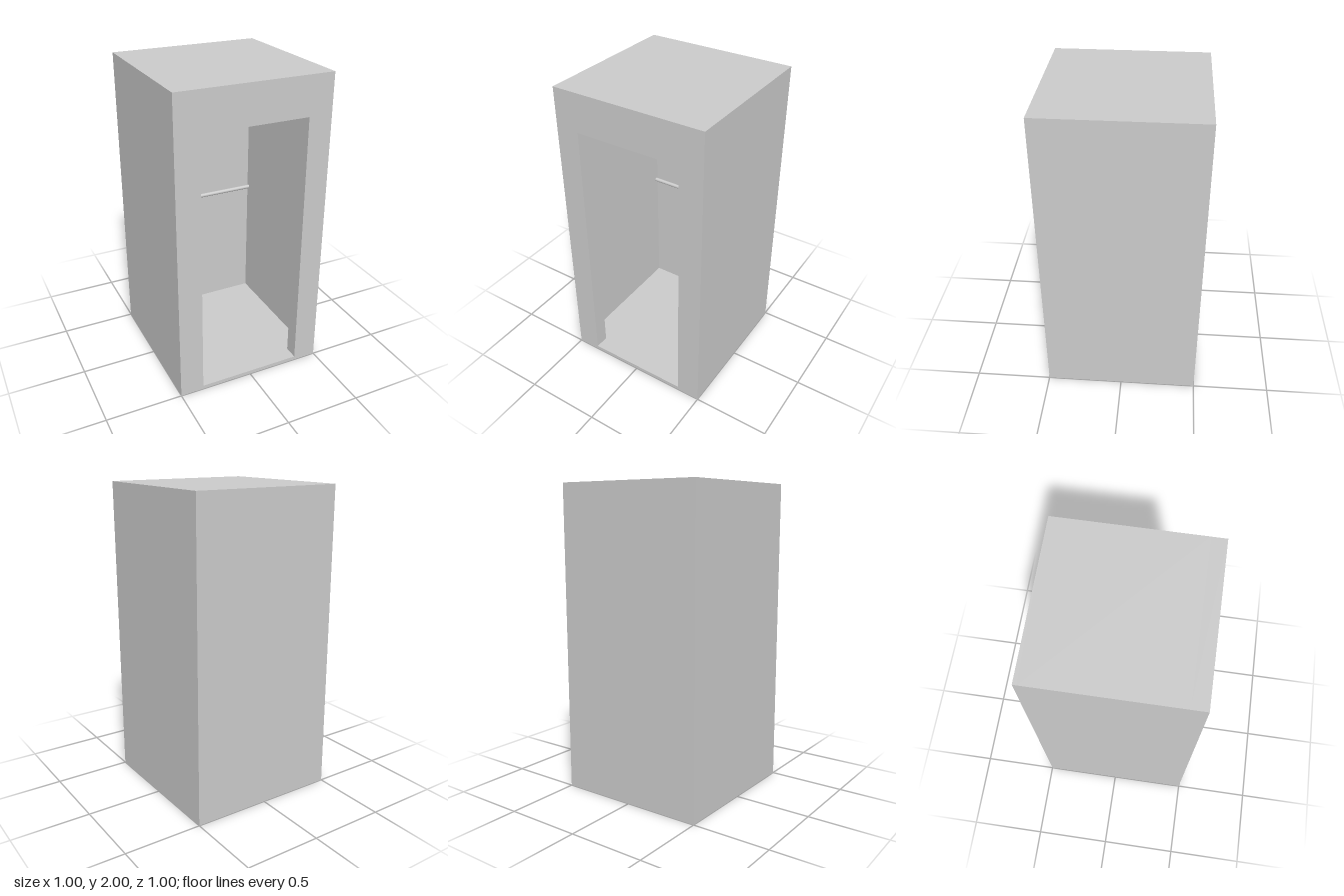
import * as THREE from 'three';

const material = new THREE.MeshStandardMaterial({ color: 0xcccccc });
const W = 1, H = 2, D = 1, T = 0.025, FRONT = 0.095;

function add(group, name, geometry, x, y, z) {
  const mesh = new THREE.Mesh(geometry, material);
  mesh.name = name;
  mesh.position.set(x, y, z);
  group.add(mesh);
  return mesh;
}

function rectangle(target, x0, y0, x1, y1) {
  target.moveTo(x0, y0);
  target.lineTo(x1, y0);
  target.lineTo(x1, y1);
  target.lineTo(x0, y1);
  target.closePath();
  return target;
}

export function createModel() {
  const group = new THREE.Group();
  group.name = 'booth';

  // Hollow shell: a rectangular tube running front to back, closed by the back panel
  const shell = rectangle(new THREE.Shape(), -W / 2, 0, W / 2, H);
  shell.holes.push(rectangle(new THREE.Path(), -W / 2 + T, T, W / 2 - T, H - T));
  add(group, 'shell', new THREE.ExtrudeGeometry(shell, { depth: D - T - FRONT, bevelEnabled: false }), 0, 0, -D / 2 + T);
  add(group, 'backPanel', new THREE.BoxGeometry(W, H, T), 0, H / 2, -D / 2 + T / 2);

  // Thick front frame around the doorway
  const front = rectangle(new THREE.Shape(), -W / 2, 0, W / 2, H);
  front.holes.push(rectangle(new THREE.Path(), -0.345, T, 0.345, 1.75));
  add(group, 'frontFrame', new THREE.ExtrudeGeometry(front, { depth: FRONT, bevelEnabled: false }), 0, 0, D / 2 - FRONT);

  // Handrail along the inside of the back panel
  const rail = add(group, 'handrail', new THREE.CylinderGeometry(0.0135, 0.0135, W - 2 * T, 16), 0, 0.9, -0.46);
  rail.rotation.z = Math.PI / 2;

  return group;
}
